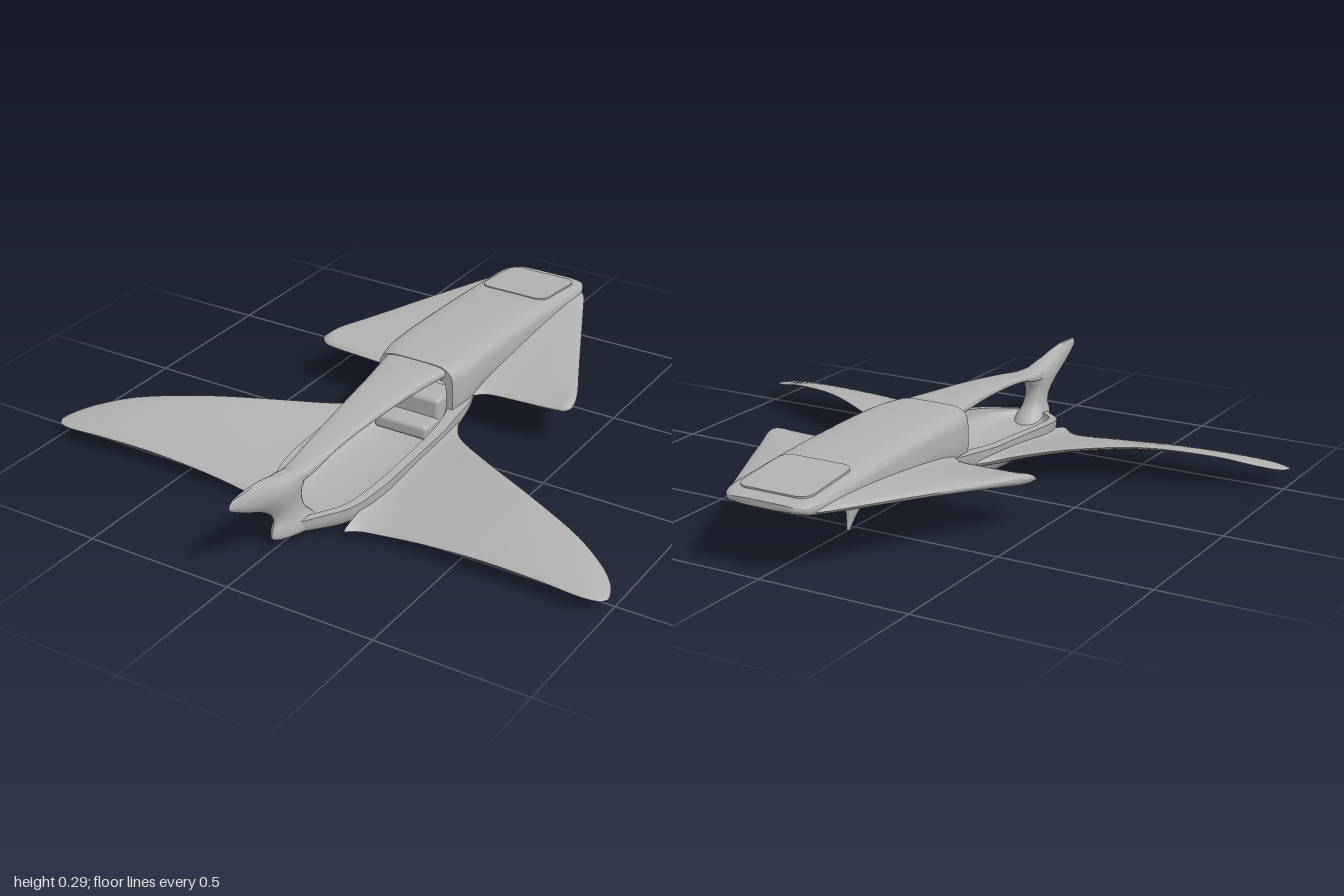
import * as THREE from 'three';
import { toCreasedNormals } from 'three/addons/utils/BufferGeometryUtils.js';
import { RoundedBoxGeometry } from 'three/addons/geometries/RoundedBoxGeometry.js';

// Smoothly interpolates rows of station values into n + 1 rows
function smooth(rows, n) {
  const out = [];
  const last = rows.length - 1;
  for (let i = 0; i <= n; i++) {
    const t = (i / n) * last;
    const k = Math.min(Math.floor(t), last - 1);
    const f = t - k;
    const [a, b, c, d] = [rows[Math.max(k - 1, 0)], rows[k], rows[k + 1], rows[Math.min(k + 2, last)]];
    out.push(b.map((p, j) => {
      const m0 = (c[j] - a[j]) / 2, m1 = (d[j] - p) / 2, e = p - c[j];
      return p + m0 * f + (-3 * e - 2 * m0 - m1) * f * f + (2 * e + m0 + m1) * f ** 3;
    }));
  }
  return out;
}

// Skins closed rings of [x, y, z] points, facing outwards
function loft(rings, capped = true, crease = 0.75) {
  const n = rings[0].length;
  const pos = rings.flat();
  const tris = [];
  for (let r = 0; r < rings.length - 1; r++) {
    for (let i = 0; i < n; i++) {
      const a = r * n + i, b = r * n + (i + 1) % n;
      tris.push([a, b, b + n], [a, b + n, a + n]);
    }
  }
  if (capped) {
    for (const [r, flip] of [[0, true], [rings.length - 1, false]]) {
      const mid = [0, 1, 2].map((j) => rings[r].reduce((s, p) => s + p[j], 0) / n);
      pos.push(mid);
      for (let i = 0; i < n; i++) {
        const a = r * n + i, b = r * n + (i + 1) % n;
        tris.push(flip ? [b, a, pos.length - 1] : [a, b, pos.length - 1]);
      }
    }
  }
  let volume = 0;
  for (const [a, b, c] of tris) {
    const [p, q, s] = [a, b, c].map((i) => new THREE.Vector3(...pos[i]));
    volume += p.dot(q.cross(s));
  }
  const geo = new THREE.BufferGeometry();
  geo.setAttribute('position', new THREE.Float32BufferAttribute(pos.flat(), 3));
  geo.setIndex(tris.flatMap(([a, b, c]) => (volume < 0 ? [a, c, b] : [a, b, c])));
  return toCreasedNormals(geo, crease);
}

// Calls f(cos, sin) around a circle
const around = (n, f) => Array.from({ length: n }, (_, i) => {
  const a = (i / n) * Math.PI * 2;
  return f(Math.cos(a), Math.sin(a));
});
const bend = (v, e) => Math.sign(v) * Math.abs(v) ** e;

// Upright rounded section at depth z
const section = (z, w, low, high, e = 0.45, eLow = e) => around(40, (c, s) => {
  const k = s < 0 ? eLow : e;
  return [w * bend(c, k), (low + high) / 2 + (high - low) / 2 * bend(s, k), z];
});

// Thin wing: rows are x, rear z, front z, rear y, front y, thickness
const wing = (rows, side) => loft(smooth(rows, 36).map(([x, z0, z1, y0, y1, t]) =>
  around(28, (c, s) => {
    const f = (c + 1) / 2;
    return [side * x, y0 + (y1 - y0) * f + t / 2 * s, z0 + (z1 - z0) * f];
  })));

// Blade stacked in y: rows are y, rear z, front z, half width
const blade = (rows) => loft(smooth(rows, 30).map(([y, z0, z1, w]) =>
  around(24, (c, s) => [w * s * (1 - 0.45 * c), y, (z0 + z1) / 2 + (z1 - z0) / 2 * c])));

export function createModel() {
  const model = new THREE.Group();
  const grey = new THREE.MeshStandardMaterial({ color: 0xb0b0b0, side: THREE.DoubleSide });
  grey.name = 'hull grey';
  const add = (name, geo) => {
    const mesh = new THREE.Mesh(geo, grey);
    mesh.name = name;
    model.add(mesh);
    return mesh;
  };

  // Rear body, hollowed at its front: z, half width, bottom, top
  const body = smooth([
    [-0.975, 0.11, 0.212, 0.232], [-0.955, 0.14, 0.2, 0.238], [-0.9, 0.158, 0.182, 0.247],
    [-0.8, 0.16, 0.16, 0.258], [-0.6, 0.16, 0.13, 0.277], [-0.4, 0.16, 0.118, 0.287],
    [-0.25, 0.16, 0.122, 0.29], [-0.13, 0.158, 0.09, 0.29], [-0.045, 0.14, 0.06, 0.288],
  ], 40).map(([z, w, low, high]) => section(z, w, low, high, 0.4, 0.7));
  body.push(section(-0.045, 0.115, 0.09, 0.25, 0.4), section(-0.2, 0.1, 0.13, 0.24, 0.4));
  add('rearBody', loft(body));

  // Open cockpit tub: z, outer half width, rim, bottom, inner half width, floor
  const tub = smooth([
    [-0.22, 0.13, 0.15, 0.125, 0.08, 0.145], [-0.12, 0.165, 0.15, 0.09, 0.1, 0.13],
    [-0.03, 0.17, 0.14, 0.04, 0.125, 0.08], [0.08, 0.178, 0.13, 0.015, 0.142, 0.045],
    [0.25, 0.18, 0.122, 0.005, 0.15, 0.035], [0.42, 0.178, 0.11, 0.005, 0.147, 0.035],
    [0.55, 0.15, 0.092, 0.01, 0.12, 0.04], [0.63, 0.09, 0.08, 0.018, 0.06, 0.055],
    [0.69, 0.035, 0.07, 0.028, 0.01, 0.065],
  ], 48).map(([z, w, rim, low, iw, floor]) => {
    const ring = [];
    const arc = (hw, bottom, from, to) => {
      for (let i = 0; i <= 20; i++) {
        const a = from + (to - from) * i / 20;
        ring.push([hw * bend(Math.cos(a), 0.55), rim - (rim - bottom) * Math.max(Math.sin(a), 0) ** 0.7, z]);
      }
    };
    arc(w, low, 0, Math.PI);
    arc(iw, floor, Math.PI, 0);
    return ring;
  });
  add('cockpitTub', loft(tub, false));

  // Spine bar over the cockpit: z, half width, bottom, top
  add('spineBar', loft(smooth([
    [-0.12, 0.125, 0.245, 0.287], [-0.045, 0.112, 0.243, 0.286], [0.1, 0.088, 0.242, 0.279],
    [0.3, 0.066, 0.237, 0.265], [0.48, 0.05, 0.222, 0.245], [0.6, 0.042, 0.195, 0.23], [0.7, 0.032, 0.18, 0.23],
  ], 36).map(([z, w, low, high]) => section(z, w, low, high, 0.6))));

  // Nose blade joining the spine to the keel
  add('noseBlade', blade([
    [0.022, 0.56, 0.73, 0.04], [0.04, 0.57, 0.768, 0.05], [0.065, 0.59, 0.768, 0.046],
    [0.095, 0.62, 0.757, 0.036], [0.13, 0.632, 0.775, 0.032], [0.165, 0.628, 0.825, 0.034],
    [0.2, 0.6, 0.895, 0.036], [0.225, 0.62, 0.94, 0.03], [0.245, 0.72, 0.968, 0.02],
    [0.26, 0.78, 0.97, 0.013], [0.272, 0.85, 0.955, 0.005],
  ]));

  // Tail keel below the rear body
  add('tailKeel', blade([
    [0.15, -0.66, -0.2, 0.08], [0.118, -0.575, -0.33, 0.045], [0.09, -0.545, -0.41, 0.02],
    [0.05, -0.538, -0.475, 0.011], [0.005, -0.54, -0.525, 0.004],
  ]));

  // Main and rear wings, mirrored
  const mainWing = [
    [0.155, -0.07, 0.62, 0.105, 0.04, 0.06], [0.19, 0.005, 0.59, 0.1, 0.036, 0.05],
    [0.25, 0.07, 0.577, 0.11, 0.037, 0.042], [0.4, 0.175, 0.57, 0.13, 0.05, 0.03],
    [0.6, 0.285, 0.572, 0.138, 0.062, 0.022], [0.8, 0.375, 0.58, 0.118, 0.064, 0.018],
    [0.92, 0.44, 0.585, 0.088, 0.06, 0.014], [0.98, 0.495, 0.572, 0.068, 0.056, 0.01],
    [1, 0.54, 0.55, 0.06, 0.056, 0.003],
  ];
  const rearWing = [
    [0.13, -0.95, -0.12, 0.212, 0.15, 0.06], [0.17, -0.905, -0.165, 0.21, 0.152, 0.056],
    [0.21, -0.825, -0.185, 0.206, 0.152, 0.052], [0.3, -0.635, -0.192, 0.196, 0.153, 0.046],
    [0.4, -0.425, -0.198, 0.182, 0.154, 0.04], [0.455, -0.31, -0.205, 0.175, 0.156, 0.034],
    [0.478, -0.245, -0.222, 0.168, 0.162, 0.01],
  ];
  for (const [name, side] of [['left', 1], ['right', -1]]) {
    add(name + 'MainWing', wing(mainWing, side));
    add(name + 'RearWing', wing(rearWing, side));
  }

  // Stepped seat at the back of the cockpit
  [[0.2, 0.09, 0.12, 0.13, -0.08], [0.2, 0.05, 0.11, 0.085, 0.0]].forEach(([w, h, d, y, z], i) => {
    add(i ? 'seatCushion' : 'seatBack', new RoundedBoxGeometry(w, h, d, 3, 0.015)).position.set(0, y, z);
  });

  // Hatch panel on the sloping tail
  const hatch = new THREE.Shape();
  const [hw, hl, r] = [0.125, 0.125, 0.04];
  for (const [cx, cy, start] of [[1, 1, 0], [-1, 1, 0.5], [-1, -1, 1], [1, -1, 1.5]]) {
    hatch.absarc(cx * (hw - r), cy * (hl - r), r, start * Math.PI, (start + 0.5) * Math.PI, false);
  }
  const plate = new THREE.ExtrudeGeometry(hatch, { depth: 0.006, bevelEnabled: false, curveSegments: 8 });
  plate.rotateX(-Math.PI / 2);
  const panel = add('tailHatch', plate);
  panel.position.set(0, 0.2545, -0.805);
  panel.rotation.x = -0.1;
  return model;
}
